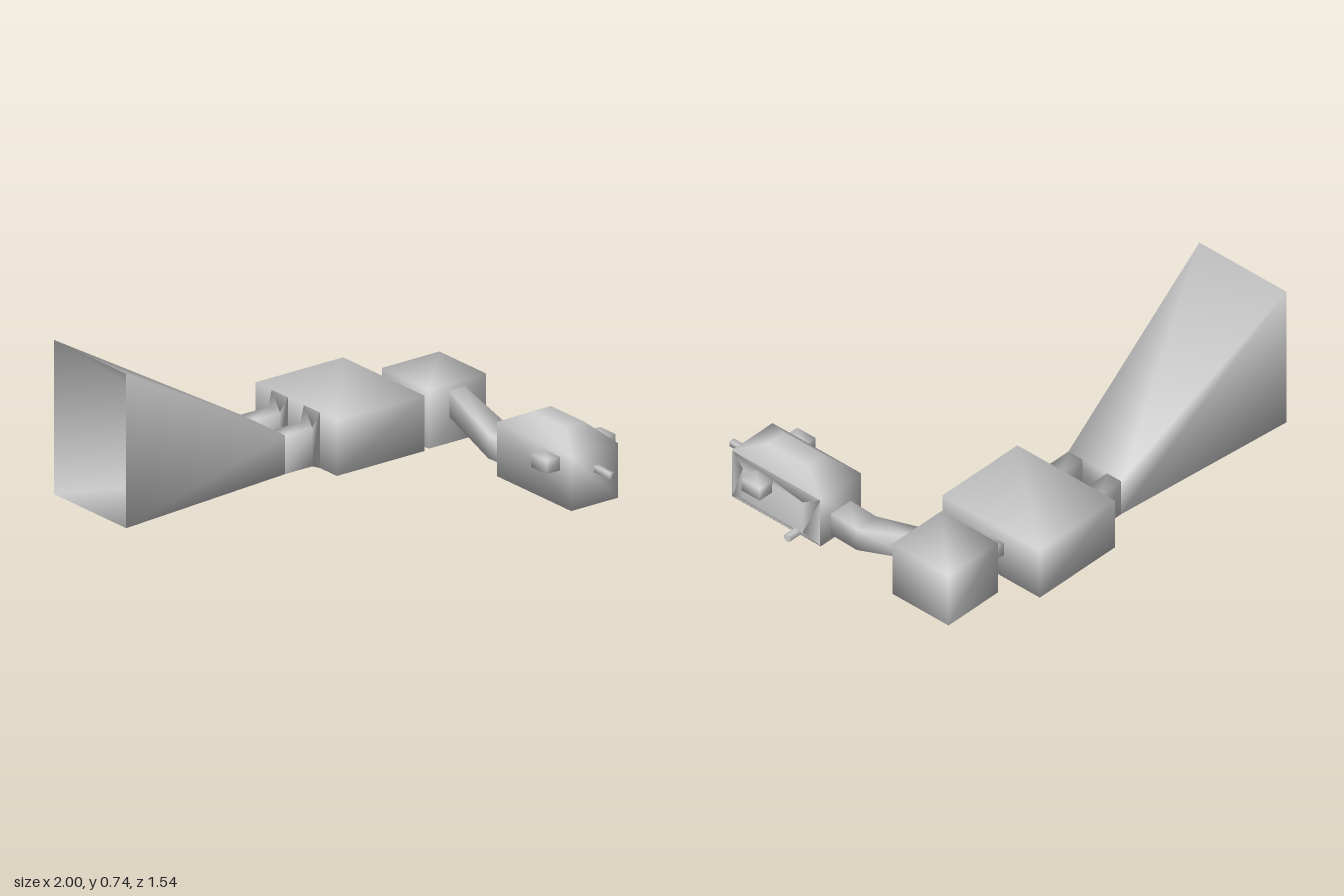
import * as THREE from 'three';

const material = new THREE.MeshStandardMaterial({ color: 0xcccccc });
const openMaterial = new THREE.MeshStandardMaterial({ color: 0xcccccc, side: THREE.DoubleSide });

// Smooth loft through rectangles [position, u0, u1, v0, v1] along an axis.
// (u, v) is (z, y) for axis x, (x, z) for axis y and (x, y) for axis z.
function loft(name, axis, sections, { capStart = true, capEnd = true, open = false } = {}) {
  const place = {
    x: (p, u, v) => [p, v, u],
    y: (p, u, v) => [u, p, v],
    z: (p, u, v) => [u, v, p],
  }[axis];
  const positions = [];
  const index = [];
  const quad = (a, b, c, d) => {
    if (axis === 'z') index.push(a, b, c, a, c, d);
    else index.push(a, c, b, a, d, c);
  };
  sections.forEach(([p, u0, u1, v0, v1], k) => {
    for (const [u, v] of [[u0, v0], [u1, v0], [u1, v1], [u0, v1]]) positions.push(...place(p, u, v));
    if (k === 0) return;
    for (let i = 0; i < 4; i++) {
      const j = (i + 1) % 4;
      quad(4 * (k - 1) + i, 4 * (k - 1) + j, 4 * k + j, 4 * k + i);
    }
  });
  const e = 4 * (sections.length - 1);
  if (capStart) quad(3, 2, 1, 0);
  if (capEnd) quad(e, e + 1, e + 2, e + 3);
  const geometry = new THREE.BufferGeometry();
  geometry.setAttribute('position', new THREE.Float32BufferAttribute(positions, 3));
  geometry.setIndex(index);
  geometry.computeVertexNormals();
  const mesh = new THREE.Mesh(geometry, open ? openMaterial : material);
  mesh.name = name;
  return mesh;
}

// Block between two corners along x
const block = (name, x0, x1, y0, y1, z0, z1) =>
  loft(name, 'x', [[x0, z0, z1, y0, y1], [x1, z0, z1, y0, y1]]);

export function createModel() {
  const model = new THREE.Group();
  model.name = 'hornAssembly';

  // Flared horn, open at its wide mouth
  model.add(loft('horn', 'x', [
    [-1, -0.745, -0.25, 0.05, 0.745],
    [-0.08, -0.65, -0.35, 0.04, 0.215],
  ], { capStart: false, open: true }));

  // Twin ducts flaring into the main chamber
  for (const side of [-1, 1]) {
    const z = -0.5 + side * 0.11;
    model.add(loft(side < 0 ? 'backDuct' : 'frontDuct', 'x', [
      [-0.09, z - 0.04, z + 0.04, 0.04, 0.215],
      [0.065, z - 0.04, z + 0.04, 0.04, 0.215],
      [0.095, z - 0.055, z + 0.055, 0.03, 0.28],
    ]));
  }

  // Main chamber, connector and corner chamber
  model.add(block('mainChamber', 0.095, 0.56, 0.03, 0.28, -0.775, -0.22));
  model.add(loft('connector', 'x', [
    [0.55, -0.57, -0.495, 0.145, 0.21],
    [0.64, -0.57, -0.495, 0.16, 0.225],
  ]));
  model.add(block('cornerChamber', 0.63, 0.935, 0.005, 0.27, -0.6, -0.28));

  // Bent pipe descending to the front housing
  model.add(loft('bentPipe', 'z', [
    [-0.29, 0.74, 0.82, 0.125, 0.245],
    [0.01, 0.72, 0.84, 0.03, 0.14],
    [0.165, 0.72, 0.84, 0.035, 0.147],
  ]));

  // Front housing with sloped roof and shallow raised side
  model.add(loft('frontHousing', 'y', [
    [0.01, 0.655, 0.905, 0.155, 0.66],
    [0.255, 0.655, 0.905, 0.155, 0.66],
    [0.325, 0.735, 0.835, 0.29, 0.52],
  ]));
  model.add(loft('raisedSide', 'x', [
    [0.904, 0.155, 0.66, 0.01, 0.255],
    [0.925, 0.24, 0.58, 0.05, 0.21],
  ]));

  // Side knobs and front peg
  model.add(block('leftKnob', 0.91, 1, 0.17, 0.23, 0.415, 0.52));
  model.add(block('rightKnob', 0.583, 0.665, 0.17, 0.23, 0.48, 0.585));
  model.add(block('frontPeg', 0.775, 0.8, 0.157, 0.185, 0.65, 0.77));

  // Small round drain stub
  const stub = new THREE.Mesh(new THREE.CylinderGeometry(0.02, 0.02, 0.08, 6), material);
  stub.name = 'drainStub';
  stub.rotation.z = Math.PI / 2;
  stub.position.set(0.94, 0.032, 0.278);
  model.add(stub);

  return model;
}
